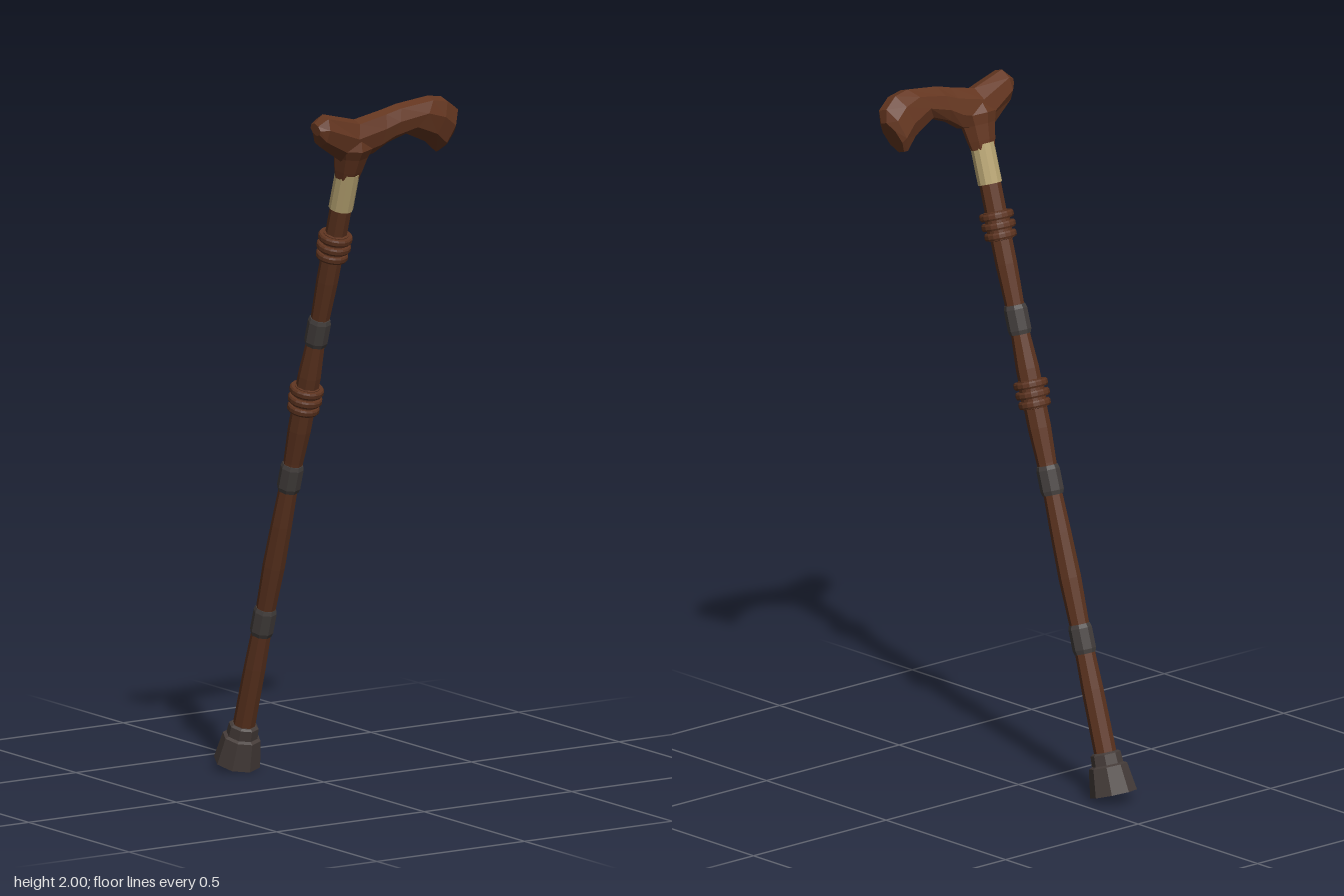
import * as THREE from 'three';

const mat = (name, color) => {
  const m = new THREE.MeshStandardMaterial({ color, flatShading: true });
  m.name = name;
  return m;
};

// Closed skin over rings of points; rings run counter-clockwise seen from the far end
function loft(rings) {
  const n = rings[0].length, pos = rings.flat(2), idx = [], last = (rings.length - 1) * n;
  for (let i = 0; i < rings.length - 1; i++) {
    for (let j = 0; j < n; j++) {
      const a = i * n + j, b = i * n + (j + 1) % n;
      idx.push(a, b, b + n, a, b + n, a + n);
    }
  }
  for (let j = 1; j < n - 1; j++) {
    idx.push(0, j + 1, j, last, last + j, last + j + 1);
  }
  const g = new THREE.BufferGeometry();
  g.setAttribute('position', new THREE.Float32BufferAttribute(pos, 3));
  g.setIndex(idx);
  g.computeVertexNormals();
  return g;
}

export function createModel() {
  const model = new THREE.Group();
  model.name = 'walkingCane';
  const wood = mat('wood', 0x5c331f);
  const handleWood = mat('handleWood', 0x643620);
  const darkMetal = mat('darkMetal', 0x443f3d);
  const rubber = mat('rubber', 0x453c39);
  const brass = mat('brass', 0xb8a472);

  // Everything is built upright, then leaned towards the front
  const cane = new THREE.Group();
  cane.name = 'cane';
  cane.position.set(-0.097, 0.02, -0.29);
  cane.rotation.x = 0.3;
  model.add(cane);

  const add = (name, geometry, material) => {
    const m = new THREE.Mesh(geometry, material);
    m.name = name;
    cane.add(m);
    return m;
  };
  const turned = (name, points, material, sides = 8) =>
    add(name, new THREE.LatheGeometry(points.map(p => new THREE.Vector2(...p)), sides), material);

  // Gently swelling shaft
  turned('shaft', [[0, 0.08], [0.032, 0.08], [0.031, 0.3], [0.028, 0.42], [0.028, 0.48],
    [0.032, 0.62], [0.030, 0.75], [0.027, 0.86], [0.028, 0.95], [0.033, 1.05], [0.033, 1.22],
    [0.027, 1.32], [0.027, 1.4], [0.031, 1.52], [0.031, 1.75], [0, 1.76]], wood);

  // Foot with stepped collar
  turned('foot', [[0, 0], [0.067, 0], [0.055, 0.08], [0.045, 0.085], [0.043, 0.115],
    [0.036, 0.12], [0, 0.12]], rubber);

  // Dark bands around the shaft
  for (const s of [0.445, 0.9, 1.36]) {
    turned('band', [[0.026, s - 0.042], [0.03, s - 0.042], [0.0335, s - 0.03], [0.0335, s + 0.03],
      [0.03, s + 0.042], [0.026, s + 0.042]], darkMetal);
  }

  // Turned wooden ring stacks
  for (const s of [1.147, 1.63]) {
    turned('ringCore', [[0.028, s - 0.042], [0.036, s - 0.04], [0.036, s + 0.04], [0.028, s + 0.042]], wood, 16);
    for (const [d, r] of [[-0.028, 0.046], [0, 0.049], [0.028, 0.049]]) {
      const y = s + d;
      turned('ring', [[0.034, y - 0.01], [r - 0.003, y - 0.01], [r, y - 0.005], [r, y + 0.005],
        [r - 0.003, y + 0.01], [0.034, y + 0.01]], wood, 16);
    }
  }

  // Brass collar
  turned('collar', [[0.028, 1.75], [0.035, 1.75], [0.035, 1.865], [0.028, 1.865]], brass, 12);

  // Flared neck below the grip
  turned('neck', [[0, 1.848], [0.038, 1.85], [0.044, 1.875], [0.053, 1.92], [0.063, 1.95],
    [0.045, 1.98], [0, 1.98]], handleWood).scale.z = 0.82;

  // Curved grip: top x, top y, bottom x, bottom y, half depth
  const stations = [
    [-0.236, 1.962, -0.236, 1.934, 0.024],
    [-0.209, 1.984, -0.219, 1.900, 0.037],
    [-0.097, 1.955, -0.125, 1.838, 0.038],
    [-0.010, 1.974, -0.030, 1.860, 0.036],
    [0.037, 1.986, 0.010, 1.886, 0.036],
    [0.143, 1.998, 0.069, 1.907, 0.037],
    [0.192, 1.989, 0.148, 1.872, 0.040],
    [0.234, 1.960, 0.186, 1.838, 0.039],
    [0.240, 1.925, 0.197, 1.838, 0.027],
  ];
  const k = 1 / Math.cos(Math.PI / 8);
  const local = y => (y - 0.02) / 0.955 - 0.004;
  add('grip', loft(stations.map(([tx, ty, bx, by, hz]) =>
    Array.from({ length: 8 }, (_, j) => {
      const a = (j + 0.5) * Math.PI / 4, c = Math.cos(a) * k / 2, yt = local(ty), yb = local(by);
      return [(tx + bx) / 2 + (tx - bx) * c + 0.097, (yt + yb) / 2 + (yt - yb) * c, hz * k * Math.sin(a)];
    }))), handleWood);

  return model;
}
